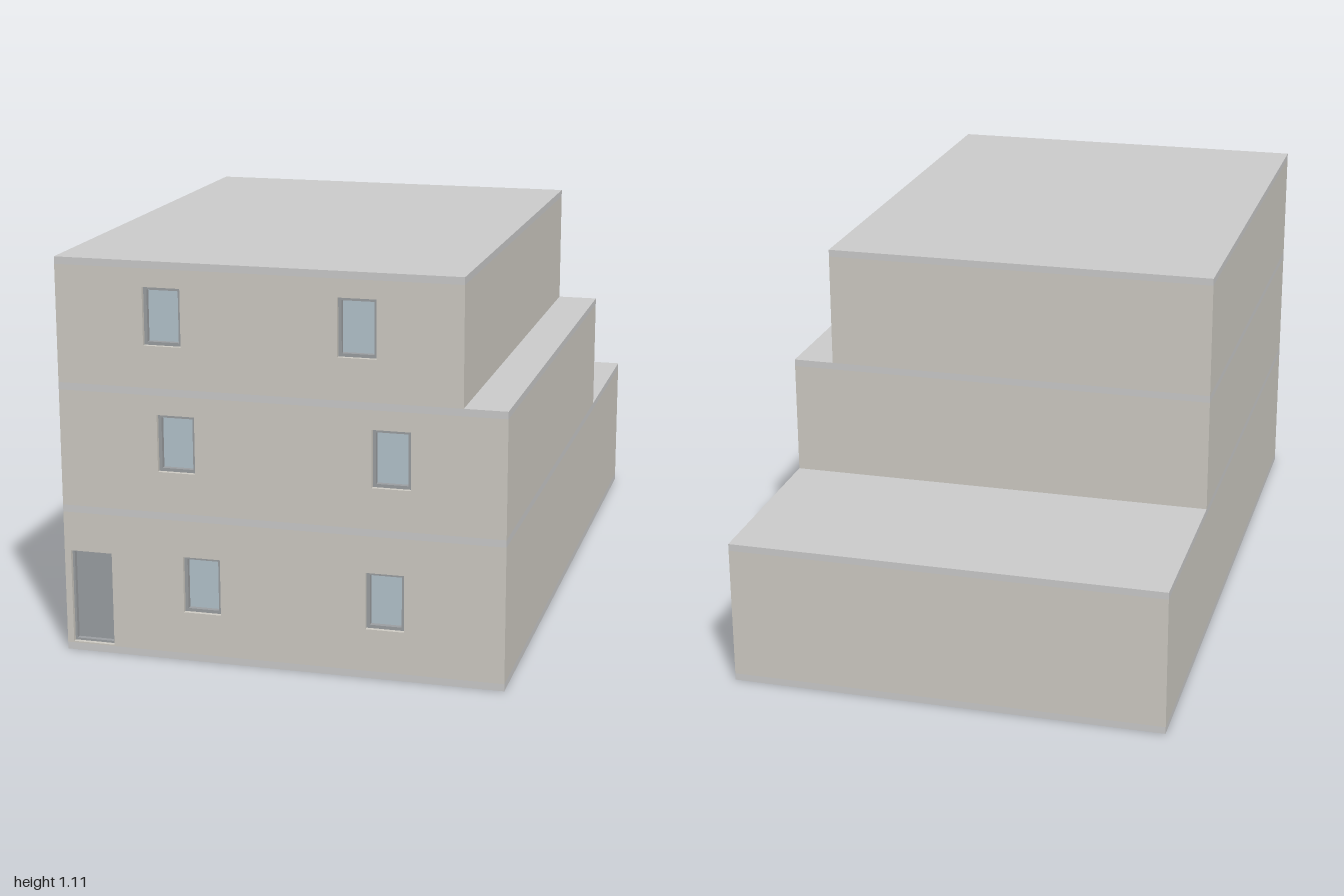
import * as THREE from 'three';

const mat = (color) => new THREE.MeshStandardMaterial({ color });
const wallMat = mat(0xcfccc4), slabMat = mat(0xc2c2c0), frameMat = mat(0x9c9fa2);
const glassMat = mat(0xb4c4cd), doorMat = mat(0x9b9fa3);

const FRONT = 1, FACADE = 0.05, SLAB = 0.02;

// Box given by its limits on each axis
function block(name, material, x0, x1, y0, y1, z0, z1) {
  const m = new THREE.Mesh(new THREE.BoxGeometry(x1 - x0, y1 - y0, z1 - z0), material);
  m.position.set((x0 + x1) / 2, (y0 + y1) / 2, (z0 + z1) / 2);
  m.name = name;
  return m;
}

function rectangle(Type, x0, x1, y0, y1) {
  return new Type([[x0, y0], [x1, y0], [x1, y1], [x0, y1]].map(([x, y]) => new THREE.Vector2(x, y)));
}

// Rectangular plate with rectangular openings, its back face at z
function pierced(name, material, outer, holes, z, depth) {
  const shape = rectangle(THREE.Shape, ...outer);
  shape.holes = holes.map((h) => rectangle(THREE.Path, ...h));
  const m = new THREE.Mesh(new THREE.ExtrudeGeometry(shape, { depth, bevelEnabled: false }), material);
  m.position.z = z;
  m.name = name;
  return m;
}

// Frame lining an opening, with a recessed pane or door leaf
function opening(name, rect, border, material) {
  const g = new THREE.Group();
  g.name = name;
  const [x0, x1, y0, y1] = rect;
  const inner = [x0 + border, x1 - border, y0 + border, y1 - border];
  g.add(pierced(name + 'Frame', frameMat, rect, [inner], FRONT - FACADE, FACADE - 0.012));
  g.add(block(name + 'Panel', material, ...inner, FRONT - FACADE, FRONT - 0.026));
  return g;
}

export function createModel() {
  const model = new THREE.Group();
  model.name = 'steppedBuilding';
  const L = -0.615, R = 0.615;
  const W = 0.105, H = 0.158;
  const storeys = [
    { name: 'ground', right: R, back: -1, y0: 0.02, y1: 0.418, windows: [[-0.22, 0.217], [0.29, 0.217]] },
    { name: 'middle', right: R, back: -0.44, y0: 0.418, y1: 0.762, windows: [[-0.285, 0.61], [0.307, 0.61]] },
    { name: 'top', right: 0.498, back: -0.44, y0: 0.762, y1: 1.105, windows: [[-0.318, 0.956], [0.215, 0.956]] },
  ];

  // Base slab
  model.add(block('baseSlab', slabMat, L, R, 0, SLAB, -1, FRONT));

  for (const s of storeys) {
    const g = new THREE.Group();
    g.name = s.name + 'Storey';
    const ceiling = s.y1 - SLAB;
    const holes = s.windows.map(([x, y]) => [x - W / 2, x + W / 2, y - H / 2, y + H / 2]);
    holes.forEach((h) => g.add(opening('window', h, 0.009, glassMat)));

    // Entrance door
    if (s.name === 'ground') {
      const door = [-0.597, -0.478, 0.024, 0.288];
      holes.push(door);
      g.add(opening('door', door, 0.006, doorMat));
    }

    // Body, pierced front wall and the slab closing the storey
    g.add(block('walls', wallMat, L, s.right, s.y0, ceiling, s.back, FRONT - FACADE));
    g.add(pierced('frontWall', wallMat, [L, s.right, s.y0, ceiling], holes, FRONT - FACADE, FACADE));
    g.add(block('roofSlab', slabMat, L, s.right, ceiling, s.y1, s.back, FRONT));
    model.add(g);
  }
  return model;
}
